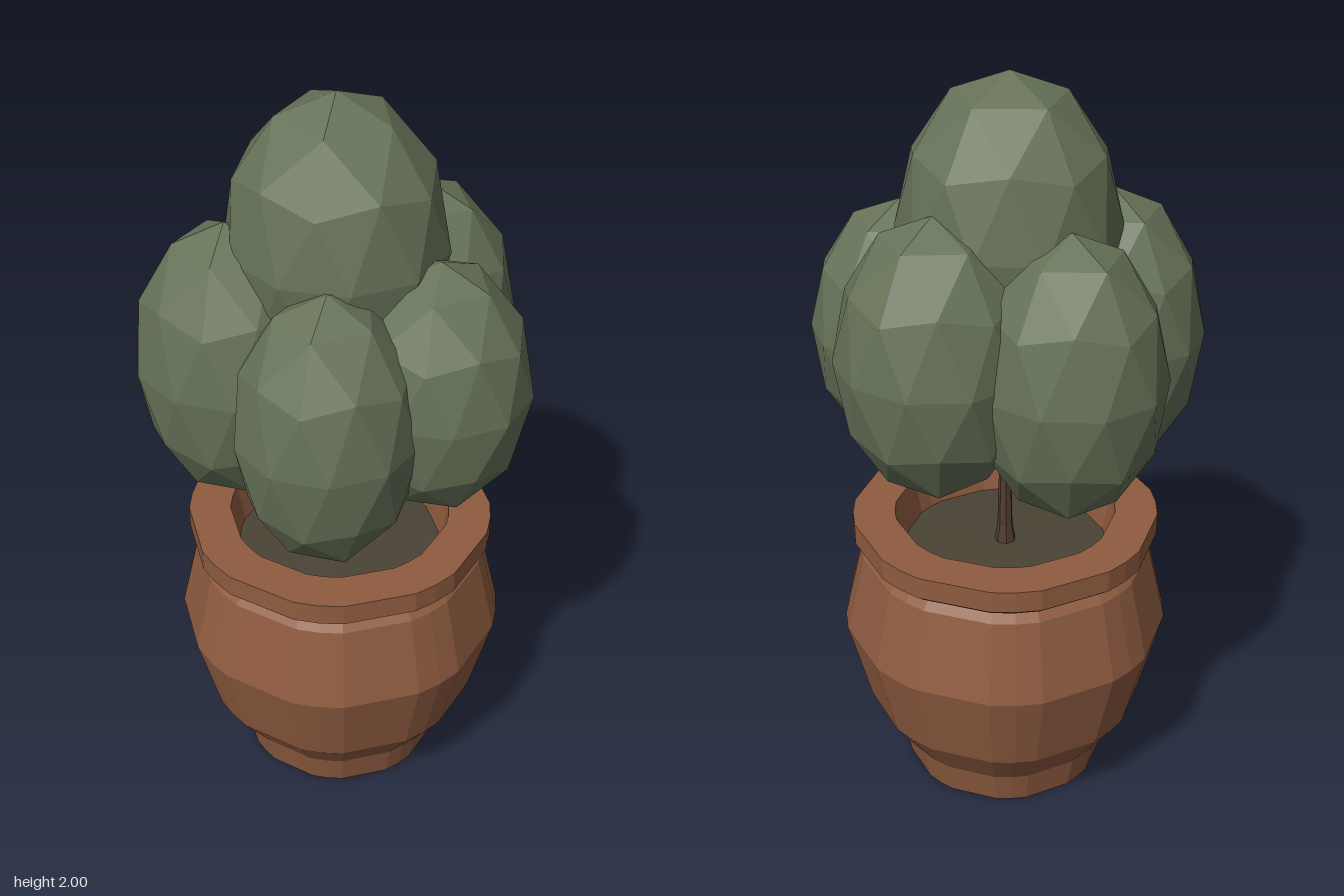
import * as THREE from 'three';

const material = (color, side = THREE.FrontSide) =>
  new THREE.MeshStandardMaterial({ color, side, flatShading: true });

// Lathe with eight broad faces and softly rounded corners (3 points each)
function facetedLathe(profile) {
  const points = profile.map(([r, y]) => new THREE.Vector2(r, y));
  const geometry = new THREE.LatheGeometry(points, 24);
  const pos = geometry.attributes.position;
  for (let v = 0; v < pos.count; v++) {
    const step = Math.floor(v / points.length);
    const [r, y] = profile[v % points.length];
    const offset = (step % 3) - 1;
    const angle = THREE.MathUtils.degToRad(22.5 + 45 * Math.floor(step / 3) + 9 * offset);
    const radius = r * 1.022;
    pos.setXYZ(v, radius * Math.sin(angle), y, radius * Math.cos(angle));
  }
  geometry.computeVertexNormals();
  return geometry;
}

// Low-poly leaf clump with a vertex at each pole
function leafClump(rx, ry, rz, turn) {
  const geometry = new THREE.IcosahedronGeometry(1, 1);
  geometry.rotateX(-Math.atan((1 + Math.sqrt(5)) / 2));
  geometry.rotateY(turn);
  geometry.scale(rx, ry, rz);
  return geometry;
}

export function createModel() {
  const group = new THREE.Group();
  const add = (name, geometry, mat, x = 0, y = 0, z = 0) => {
    const mesh = new THREE.Mesh(geometry, mat);
    mesh.name = name;
    mesh.position.set(x, y, z);
    group.add(mesh);
  };
  const axis = -0.023; // pot and trunk sit slightly to one side

  // Terracotta pot: foot, belly, neck, rim and inner wall
  add('pot', facetedLathe([
    [0, 0], [0.27, 0], [0.29, 0.095], [0.375, 0.22], [0.435, 0.46],
    [0.385, 0.68], [0.362, 0.706], [0.385, 0.715], [0.403, 0.73],
    [0.403, 0.79], [0.292, 0.79], [0.268, 0.66],
  ]), material(0x8f5c40, THREE.DoubleSide), axis);

  // Soil inside the pot
  add('soil', facetedLathe([[0.275, 0.68], [0, 0.69]]), material(0x4a4436, THREE.DoubleSide), axis);

  // Trunk with a flared foot, and branches spreading into the leaves
  const bark = material(0x4f3d2e);
  const trunk = [[0.032, 0.67], [0.021, 0.74], [0.017, 0.9], [0.024, 0.95], [0.02, 1.3]];
  add('trunk', new THREE.LatheGeometry(trunk.map(([r, y]) => new THREE.Vector2(r, y)), 7), bark, axis);
  for (let i = 0; i < 5; i++) {
    const a = i * Math.PI * 0.4 + Math.PI / 2;
    const branch = new THREE.LineCurve3(
      new THREE.Vector3(0, 0.91, 0),
      new THREE.Vector3(0.14 * Math.sin(a), 1.15, 0.14 * Math.cos(a)));
    add('branch', new THREE.TubeGeometry(branch, 1, 0.011, 5), bark, axis);
  }

  // Leaf clumps: [name, centre, radii, turn]
  const leaves = material(0x667258);
  const side = Math.PI / 2;
  const clumps = [
    ['topLeaves', [-0.035, 1.61, -0.01], [0.285, 0.39, 0.275], side],
    ['frontLeaves', [0.085, 1.237, 0.24], [0.237, 0.383, 0.243], 0.24],
    ['leftLeaves', [0.262, 1.29, 0.005], [0.241, 0.35, 0.235], side],
    ['backLeaves', [0.08, 1.33, -0.238], [0.253, 0.375, 0.245], 0.39],
    ['backRightLeaves', [-0.245, 1.3, -0.175], [0.248, 0.38, 0.235], side],
    ['frontRightLeaves', [-0.25, 1.285, 0.16], [0.253, 0.395, 0.232], side - 0.05],
  ];
  for (const [name, centre, radii, turn] of clumps) {
    add(name, leafClump(...radii, turn), leaves, ...centre);
  }
  return group;
}
